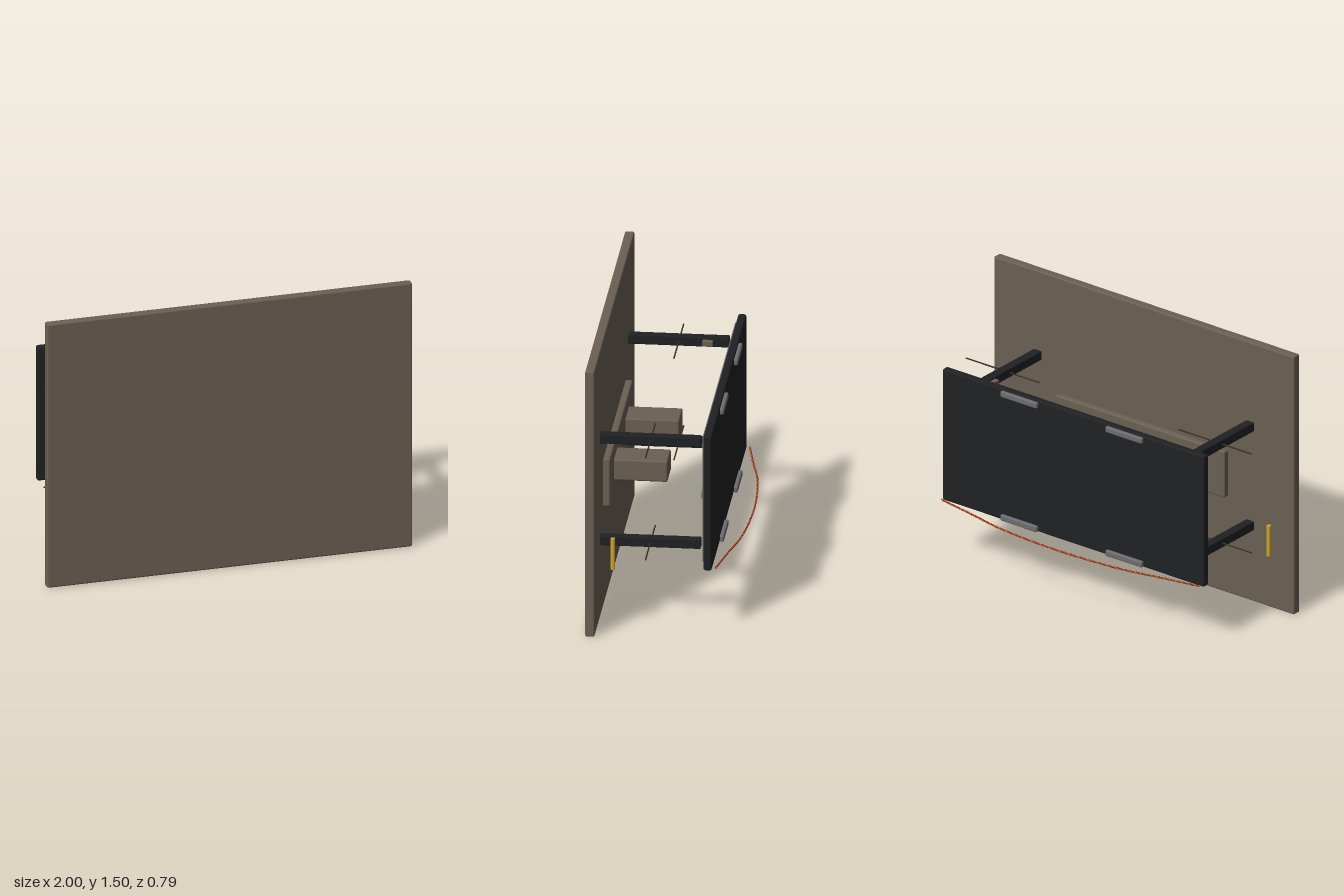
import * as THREE from 'three';
import { RoundedBoxGeometry } from 'three/addons/geometries/RoundedBoxGeometry.js';

const mat = (name, color, extra = {}) => Object.assign(new THREE.MeshStandardMaterial({ color, ...extra }), { name });

export function createModel() {
  const taupe = mat('taupe board', 0x6b6053);
  const black = mat('black casing', 0x202123);
  const grey = mat('grey sheet', 0x66656c);
  const clipGrey = mat('clip grey', 0x6c6c70);
  const stripGrey = mat('strip grey', 0x7c7b78);
  const darkBrown = mat('dark rod', 0x3a3226);
  const yellow = mat('yellow peg', 0xd0a62c);
  const orange = mat('orange cable', 0xc4572a);
  const rust = mat('rust cable', 0x7e3418);

  const model = new THREE.Group();
  model.name = 'wallPanelAssembly';

  const add = (name, geometry, material, x = 0, y = 0, z = 0) => {
    const mesh = new THREE.Mesh(geometry, material);
    mesh.name = name;
    mesh.position.set(x, y, z);
    model.add(mesh);
    return mesh;
  };
  // Rounded box given by its lower and upper limits on each axis
  const block = (name, material, [x0, x1], [y0, y1], [z0, z1], r = 0.006) =>
    add(name, new RoundedBoxGeometry(x1 - x0, y1 - y0, z1 - z0, 2, r), material,
      (x0 + x1) / 2, (y0 + y1) / 2, (z0 + z1) / 2);
  const tube = (name, points, radius, material, segments = 32) =>
    add(name, new THREE.TubeGeometry(new THREE.CatmullRomCurve3(points), segments, radius, 6), material);
  const V = (x, y, z) => new THREE.Vector3(x, y, z);

  // Large board and the mounting plate behind it
  block('frontBoard', taupe, [-1, 1], [0, 1.5], [0.347, 0.397], 0.009);
  block('mountPlate', taupe, [-0.565, 0.565], [0.565, 0.835], [0.31, 0.35], 0.01);

  // Two bracket blocks with loose wires under them
  for (const x of [-0.292, 0.291]) {
    block('bracketBlock', taupe, [x - 0.09, x + 0.09], [0.642, 0.76], [0.027, 0.315], 0.01);
    for (let i = 0; i < 4; i++) {
      const wire = [];
      for (let k = 0; k <= 8; k++) {
        wire.push(V(x - 0.06 + i * 0.04 + 0.006 * Math.sin(k * 1.7 + i), 0.64 - 0.003 * Math.cos(k * 2 + i), 0.08 + k * 0.028));
      }
      tube('underWire', wire, 0.003, i % 2 ? rust : darkBrown, 24);
    }
    tube('sideWire', [V(x + 0.07, 0.638, 0.28), V(x + 0.095, 0.64, 0.283), V(x + 0.099, 0.643, 0.31)], 0.003, darkBrown, 10);
  }

  // Four posts, each crossed by a thin rod
  for (const s of [-1, 1]) {
    for (const y of [0.44, 1.015]) {
      const x = s * 0.708;
      block('post', black, [x - 0.026, x + 0.026], [y - 0.026, y + 0.026], [-0.185, 0.35], 0.005);
      const rod = add('crossRod', new THREE.CylinderGeometry(0.004, 0.004, 0.485, 8), darkBrown, x + 0.025, y, 0.08);
      rod.rotation.z = Math.PI / 2;
      block('postTab', taupe, [s * 0.67 - 0.015, s * 0.67 + 0.015], [y - 0.015, y + 0.015], [-0.102, -0.046], 0.003);
    }
    add('peg', new THREE.CylinderGeometry(0.012, 0.012, 0.175, 16), yellow, s * 0.9, 0.437, 0.26);
  }

  // Rear panel with its inner sheet and three strips
  block('rearPanel', black, [-0.872, 0.872], [0.348, 1.11], [-0.258, -0.214], 0.012);
  block('innerSheet', grey, [-0.82, 0.82], [0.378, 1.08], [-0.218, -0.203], 0.003);
  for (const x of [-0.543, 0, 0.543]) {
    block('strip', stripGrey, [x - 0.232, x + 0.232], [0.717, 0.752], [-0.204, -0.191], 0.003);
    for (let i = -4; i <= 4; i++) {
      add('stripDetail', new THREE.BoxGeometry(0.022, 0.01, 0.004), darkBrown, x + i * 0.048, 0.735, -0.19);
    }
  }

  // Clips along the back edges of the panel
  for (const x of [-0.352, 0.348]) {
    for (const y of [0.37, 1.088]) {
      block('backClip', clipGrey, [x - 0.122, x + 0.122], [y - 0.017, y + 0.017], [-0.28, -0.257], 0.008);
    }
  }

  // Small loose wire in front of the panel
  tube('looseWire', [V(-0.585, 0.37, -0.19), V(-0.545, 0.37, -0.165), V(-0.49, 0.37, -0.148),
    V(-0.44, 0.37, -0.163), V(-0.4, 0.37, -0.19)], 0.0035, darkBrown);

  // Twisted cable bowing out below the back edge
  const bow = new THREE.CatmullRomCurve3([V(-0.86, 0.36, -0.277), V(-0.62, 0.36, -0.322), V(-0.4, 0.36, -0.366),
    V(0, 0.36, -0.391), V(0.4, 0.36, -0.366), V(0.62, 0.36, -0.322), V(0.86, 0.36, -0.277)]);
  [orange, rust].forEach((material, n) => {
    const strand = [];
    for (let i = 0; i <= 400; i++) {
      const a = (i / 400) * 40 * Math.PI * 2 + n * Math.PI;
      strand.push(bow.getPoint(i / 400).add(V(0, 0.0027 * Math.cos(a), 0.0027 * Math.sin(a))));
    }
    tube('twistedCable', strand, n ? 0.003 : 0.0036, material, 500);
  });

  return model;
}
